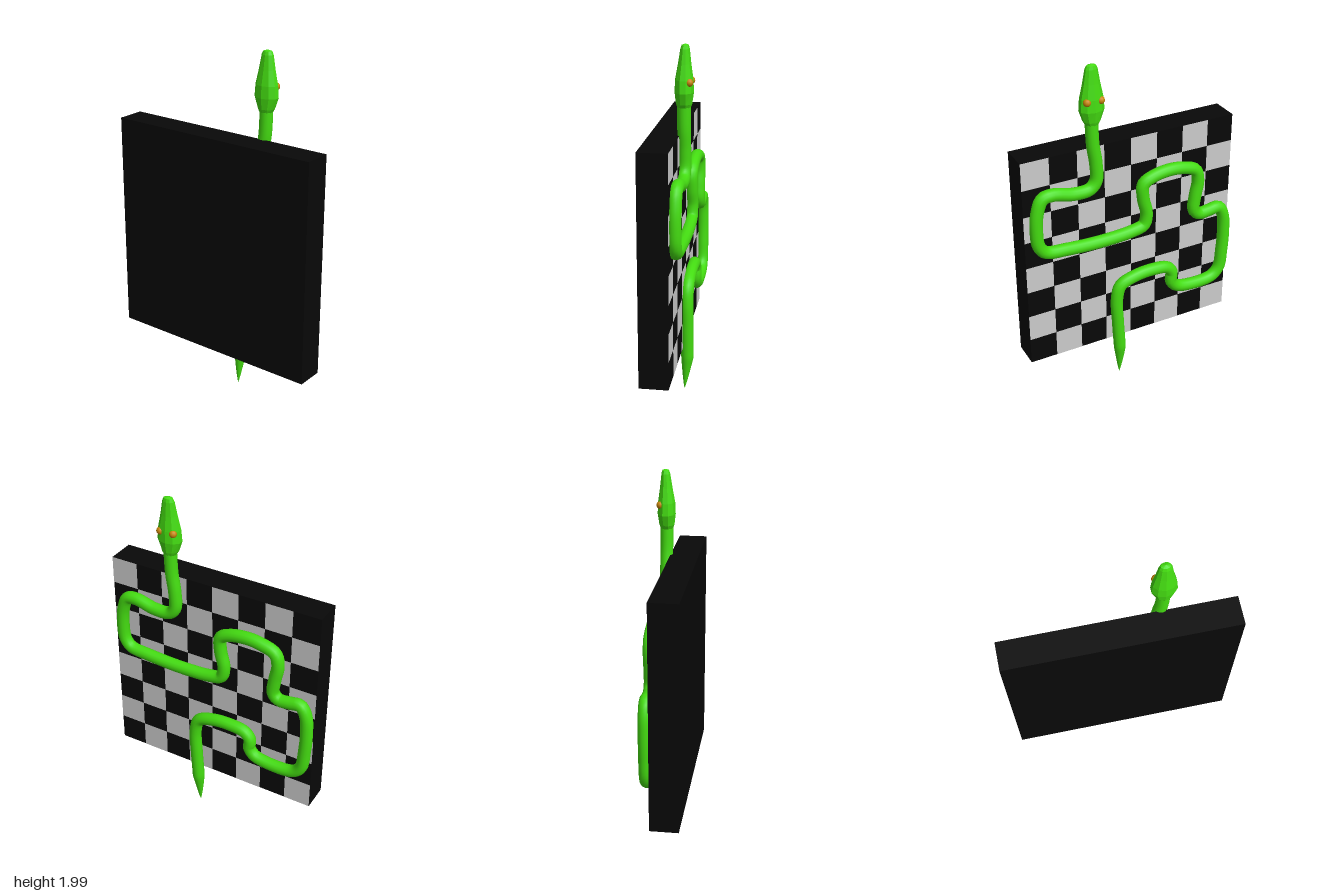
import * as THREE from 'three';

const GREEN = 0x44dd11;
const AXIS_X = new THREE.Vector3(1, 0, 0);

// Skin a list of {centre, tangent, rx, rs} elliptical rings; rx lies along x, rs across the path
function loft(rings, sides) {
  const pos = [], index = [];
  for (const { centre, tangent, rx, rs } of rings) {
    const across = new THREE.Vector3().crossVectors(tangent, AXIS_X).normalize();
    for (let j = 0; j < sides; j++) {
      const a = (j / sides) * Math.PI * 2;
      const p = centre.clone()
        .addScaledVector(AXIS_X, Math.cos(a) * rx)
        .addScaledVector(across, Math.sin(a) * rs);
      pos.push(p.x, p.y, p.z);
    }
  }
  for (let i = 0; i < rings.length - 1; i++) {
    for (let j = 0; j < sides; j++) {
      const k = (j + 1) % sides;
      const a = i * sides + j, b = i * sides + k, c = b + sides, d = a + sides;
      index.push(a, b, c, a, c, d);
    }
  }
  const g = new THREE.BufferGeometry();
  g.setAttribute('position', new THREE.Float32BufferAttribute(pos, 3));
  g.setIndex(index);
  g.computeVertexNormals();
  return g;
}

function part(name, geometry, color, flatShading = false) {
  const m = new THREE.Mesh(geometry, new THREE.MeshStandardMaterial({ color, flatShading }));
  m.name = name;
  return m;
}

// Square slab with an 8 x 8 chequered face towards +x
function makeBoard() {
  const board = new THREE.Group();
  board.name = 'board';
  const size = 1.255, cell = size / 8, top = 1.53, left = 0.628;
  const slab = part('slab', new THREE.BoxGeometry(0.157, size, size), 0x080808);
  slab.position.set(-0.0385, top - size / 2, 0);
  board.add(slab);
  const tileGeo = new THREE.PlaneGeometry(cell, cell).rotateY(Math.PI / 2);
  for (let r = 0; r < 8; r++) {
    for (let c = r % 2; c < 8; c += 2) {
      const tile = part('lightTile', tileGeo, 0xcccccc);
      tile.position.set(0.0412, top - (r + 0.5) * cell, left - (c + 0.5) * cell);
      board.add(tile);
    }
  }
  return board;
}

// Winding body from tail tip to neck, given as [z, y] points
function makeBody() {
  const path = [
    [0.08, 0.01], [0.083, 0.19], [0.095, 0.39], [0.10, 0.55], [0.075, 0.635], [-0.02, 0.672],
    [-0.13, 0.68], [-0.222, 0.665], [-0.255, 0.62], [-0.25, 0.57], [-0.285, 0.522], [-0.39, 0.50],
    [-0.525, 0.512], [-0.573, 0.56], [-0.589, 0.68], [-0.594, 0.81], [-0.584, 0.92], [-0.55, 0.978],
    [-0.49, 0.973], [-0.42, 0.97], [-0.387, 1.005], [-0.393, 1.09], [-0.408, 1.185], [-0.39, 1.255],
    [-0.313, 1.287], [-0.223, 1.297], [-0.117, 1.28], [-0.064, 1.248], [-0.064, 1.16], [-0.085, 1.063],
    [-0.069, 0.995], [0.005, 0.973], [0.19, 0.963], [0.40, 0.973], [0.52, 0.99], [0.557, 1.037],
    [0.567, 1.133], [0.557, 1.24], [0.525, 1.313], [0.467, 1.323], [0.35, 1.297], [0.255, 1.302],
    [0.218, 1.345], [0.218, 1.45], [0.233, 1.557], [0.239, 1.70],
  ].map(([z, y]) => new THREE.Vector3(0.063, y, z));
  const curve = new THREE.CatmullRomCurve3(path, false, 'centripetal');
  const steps = 260, rings = [];
  for (let i = 0; i <= steps; i++) {
    const u = i / steps;
    const centre = curve.getPointAt(u), tangent = curve.getTangentAt(u);
    // The tail narrows to a point that sits close to the board plane
    const t = i < 40 ? Math.min(1, (centre.y - 0.01) / 0.2) : 1;
    const r = 0.0355 * Math.pow(Math.max(t, 0), 0.8);
    centre.x -= 0.016 * (1 - t);
    rings.push({ centre, tangent, rx: r, rs: r });
  }
  return part('body', loft(rings, 14), GREEN);
}

// Tapered, faceted head with two eyes on its upper side
function makeHead() {
  const head = new THREE.Group();
  head.name = 'head';
  const up = new THREE.Vector3(0, 1, 0);
  // [y, x centre, half width in x, half width in z]
  const rings = [
    [1.67, 0.063, 0.0, 0.0], [1.675, 0.063, 0.035, 0.036], [1.695, 0.063, 0.042, 0.048],
    [1.755, 0.064, 0.05, 0.069], [1.82, 0.064, 0.047, 0.064], [1.90, 0.066, 0.034, 0.047],
    [1.975, 0.068, 0.024, 0.034], [1.993, 0.069, 0.018, 0.026], [2.0, 0.07, 0.0, 0.0],
  ].map(([y, x, rx, rs]) => ({ centre: new THREE.Vector3(x, y, 0.237), tangent: up, rx, rs }));
  head.add(part('skull', loft(rings, 10), GREEN, true));
  for (const side of [-1, 1]) {
    const eye = part('eye', new THREE.SphereGeometry(0.021, 12, 8), 0xc8860a);
    eye.position.set(0.094, 1.81, 0.237 + side * 0.038);
    head.add(eye);
  }
  return head;
}

export function createModel() {
  const model = new THREE.Group();
  model.name = 'snakeOnBoard';
  model.add(makeBoard(), makeBody(), makeHead());
  return model;
}
